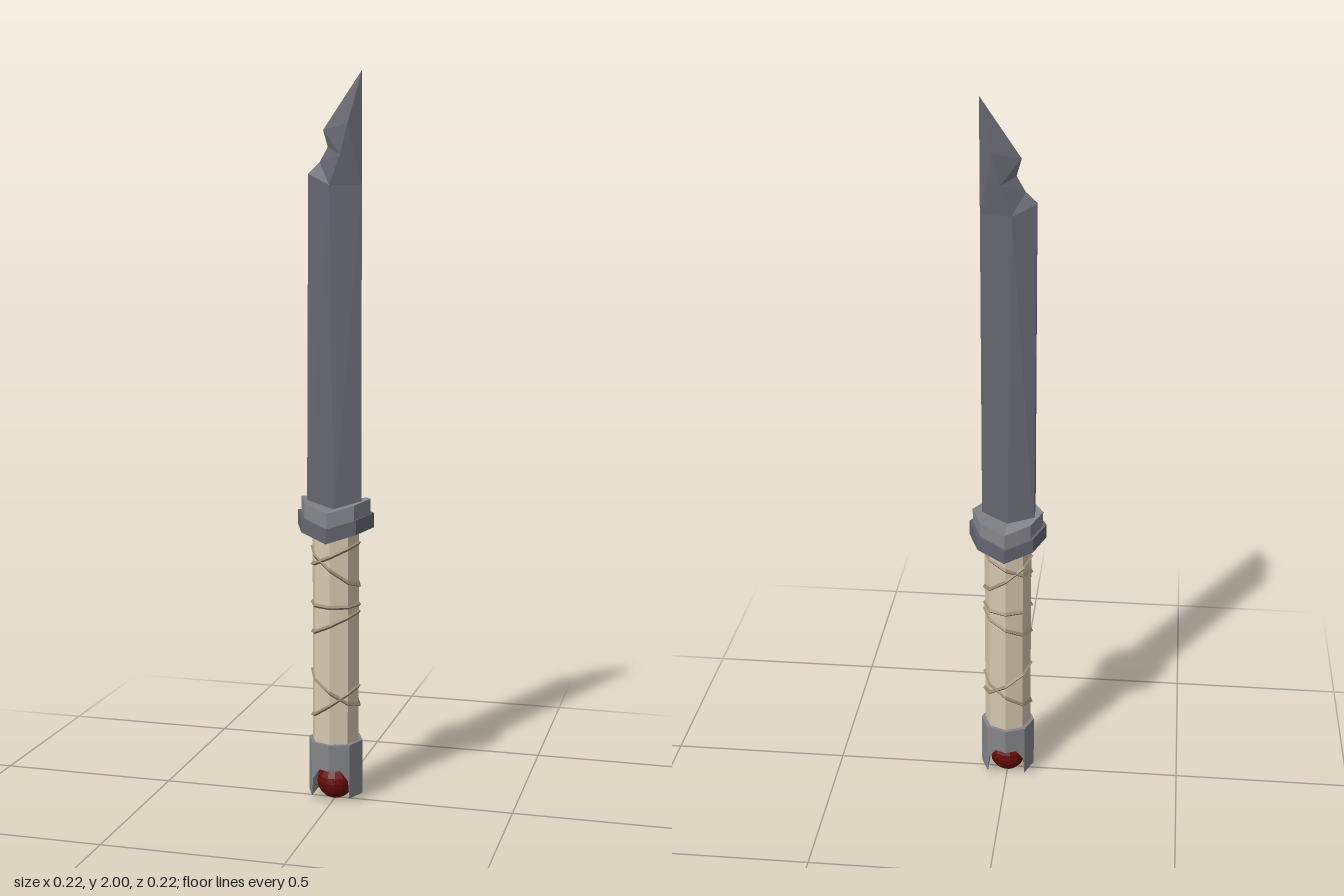
import * as THREE from 'three';

const mat = (name, color) => {
  const m = new THREE.MeshStandardMaterial({ color });
  m.name = name;
  return m;
};

// Facet a geometry so every side reads flat
function faceted(geo) {
  const g = geo.index ? geo.toNonIndexed() : geo;
  g.computeVertexNormals();
  return g;
}

// Move every vertex by a rule
function reshape(geo, rule) {
  const p = geo.attributes.position;
  const v = new THREE.Vector3();
  for (let i = 0; i < p.count; i++) {
    rule(v.fromBufferAttribute(p, i));
    p.setXYZ(i, v.x, v.y, v.z);
  }
  return geo;
}

export function createModel() {
  const model = new THREE.Group();
  model.name = 'dagger';
  const steel = mat('dark steel', 0x656570);
  const iron = mat('grey iron', 0x85868b);
  const bone = mat('pale grip', 0xd6c7b0);
  const cord = mat('cord', 0x988870);
  const red = mat('red gem', 0x640a0a);

  const add = (name, geo, material, parent = model) => {
    const mesh = new THREE.Mesh(faceted(geo), material);
    mesh.name = name;
    parent.add(mesh);
    return mesh;
  };

  // Blade: spine, ridge, cutting edge and notched tip, mirrored front to back
  const P = {
    S0: [-0.075, 0.8, 0.024], S1: [-0.075, 1.73, 0.006],
    R0: [0, 0.8, 0.024], R1: [-0.012, 1.7, 0.024], R2: [0.018, 1.78, 0.024], R3: [0.038, 1.86, 0.024],
    E0: [0.072, 0.8, 0], E1: [0.072, 1.7, 0], T: [0.072, 2, 0],
    N1: [-0.045, 1.76, 0], N2: [-0.022, 1.8, 0], N3: [-0.035, 1.845, 0],
  };
  const faces = [
    'S0 R0 R1', 'S0 R1 S1', 'R0 E0 E1', 'R0 E1 R1', 'S1 R1 N1', 'R1 R2 N1', 'N1 R2 N2',
    'N2 R2 N3', 'N3 R2 R3', 'N3 R3 T', 'R1 E1 R2', 'R2 E1 R3', 'R3 E1 T',
  ];
  const pos = [];
  const back = ([x, y, z]) => [x, y, -z];
  for (const f of faces) {
    const [a, b, c] = f.split(' ').map((k) => P[k]);
    pos.push(...a, ...b, ...c, ...back(a), ...back(c), ...back(b));
  }
  const { S0, S1, N1 } = P;
  pos.push(...back(S0), ...S0, ...S1, ...back(S0), ...S1, ...back(S1), ...back(S1), ...S1, ...N1);
  const bladeGeo = new THREE.BufferGeometry();
  bladeGeo.setAttribute('position', new THREE.Float32BufferAttribute(pos, 3));
  add('blade', bladeGeo, steel);

  // Guard: two octagonal plates folded upward at the sides
  const plate = (name, r, y0, y1, material) => {
    const g = new THREE.CylinderGeometry(r, r, y1 - y0, 8).translate(0, (y0 + y1) / 2, 0);
    add(name, reshape(g, (v) => { v.y += 0.3 * Math.abs(v.x); }), material);
  };
  plate('guardRing', 0.108, 0.745, 0.785, steel);
  plate('guardCollar', 0.098, 0.78, 0.826, iron);

  // Octagonal grip
  add('grip', new THREE.CylinderGeometry(0.066, 0.066, 0.62, 8).translate(0, 0.46, 0), bone);

  // Tilted cord loops: [height, slope]
  const wraps = new THREE.Group();
  wraps.name = 'cordWraps';
  model.add(wraps);
  for (const [y, k] of [[0.664, -0.75], [0.7, 0.48], [0.56, 0], [0.508, 0.48], [0.32, -0.68], [0.283, 0.68]]) {
    const g = new THREE.TorusGeometry(0.066, 0.006, 4, 8).rotateX(Math.PI / 2);
    add('cordLoop', reshape(g, (v) => { v.y += y + k * v.x; }), cord, wraps);
  }

  // Pommel: octagonal block with an arch cut through it
  const pommel = new THREE.Group();
  pommel.name = 'pommel';
  model.add(pommel);
  const R = 0.077, C = 0.0545;
  const depth = (x) => (x < C ? R - ((R - C) * x) / C : (C * Math.max(0, R - x)) / (R - C));
  const arch = [[0, 0.1], [0.03, 0.1], [0.05, 0.07], [0.0535, 0.02], [C, 0.02], [C, 0.173], [0, 0.173]];
  const tab = [[C, 0.02], [R, 0.02], [R, 0.173], [C, 0.173]];
  for (const s of [-1, 1]) {
    for (const [name, outline] of [['pommelArch', arch], ['pommelSide', tab]]) {
      const shape = new THREE.Shape(outline.map(([x, y]) => new THREE.Vector2(s * x, y)));
      const g = new THREE.ExtrudeGeometry(shape, { depth: 1, bevelEnabled: false });
      add(name, reshape(g, (v) => { v.z = (v.z - 0.5) * 2 * depth(Math.abs(v.x)); }), iron, pommel);
    }
  }

  // Gem held in the arch
  add('gem', new THREE.SphereGeometry(0.052, 14, 10).translate(0, 0.053, 0), red);

  return model;
}
